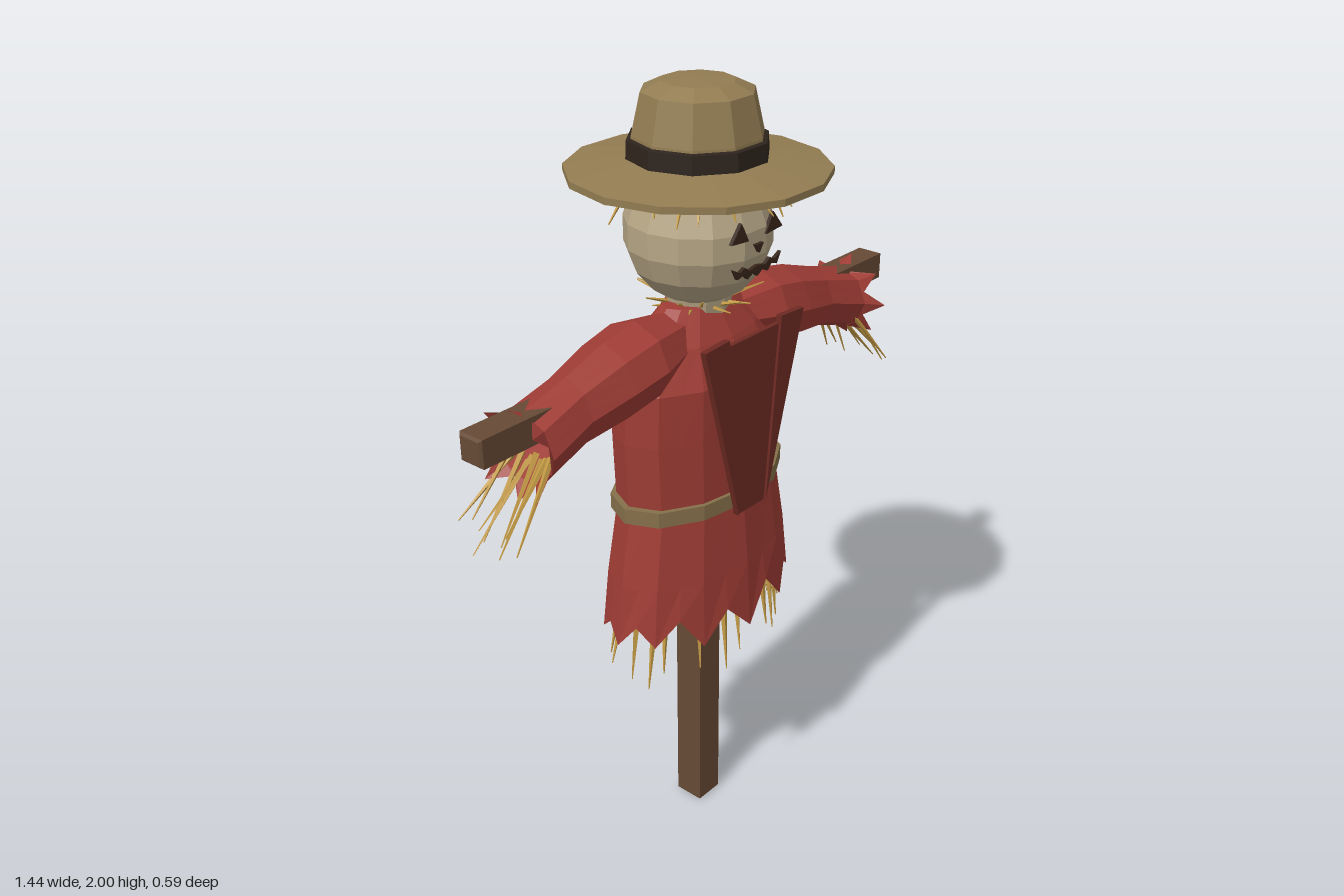
import * as THREE from 'three';

const mat = (name, color, side = THREE.FrontSide) =>
  new THREE.MeshStandardMaterial({ name, color, side, flatShading: true });

export function createModel() {
  const cloth = mat('red cloth', 0x9f3c35, THREE.DoubleSide);
  const vestCloth = mat('dark red cloth', 0x6e2a23);
  const wood = mat('wood', 0x664a35);
  const felt = mat('hat straw', 0x927c52);
  const rope = mat('belt rope', 0x85704a);
  const dark = mat('dark band', 0x2e241d);
  const sack = mat('burlap', 0xb5a585);
  const paint = mat('face paint', 0x38261c);
  const hay = mat('hay', 0xc39a45);

  const model = new THREE.Group();
  model.name = 'scarecrow';

  let seed = 7;
  const rand = (a, b) => {
    seed = (seed * 16807) % 2147483647;
    return a + (b - a) * (seed / 2147483647);
  };
  const add = (name, geometry, material, parent = model) => {
    const mesh = new THREE.Mesh(geometry, material);
    mesh.name = name;
    parent.add(mesh);
    return mesh;
  };
  const group = (name, parent = model) => {
    const g = new THREE.Group();
    g.name = name;
    parent.add(g);
    return g;
  };

  // Skin a list of rings, each an array of Vector3
  const loft = (rings) => {
    const n = rings[0].length, index = [];
    for (let i = 0; i < rings.length - 1; i++) {
      for (let j = 0; j < n; j++) {
        const a = i * n + j, b = i * n + ((j + 1) % n);
        index.push(a, b, b + n, a, b + n, a + n);
      }
    }
    const g = new THREE.BufferGeometry().setFromPoints(rings.flat());
    g.setIndex(index);
    g.computeVertexNormals();
    return g;
  };
  // Polygon ring with edge midpoints, so hems can be cut into teeth
  const ring = (sides, fn) => Array.from({ length: sides * 2 }, (_, j) => {
    const a = (j * Math.PI) / sides, k = j % 2 ? Math.cos(Math.PI / sides) : 1;
    return fn(Math.sin(a) * k, Math.cos(a) * k, j % 2 === 1);
  });
  // Tapered hay stalk between two points
  const stalk = (from, to, parent, r = 0.008) => {
    const dir = to.clone().sub(from);
    const m = add('stalk', new THREE.CylinderGeometry(0.0015, r, dir.length(), 4), hay, parent);
    m.position.copy(from).addScaledVector(dir, 0.5);
    m.quaternion.setFromUnitVectors(new THREE.Vector3(0, 1, 0), dir.normalize());
  };
  const polar = (r, y, a, squash = 1) =>
    new THREE.Vector3(r * Math.sin(a), y, r * Math.cos(a) * squash);
  const plate = (name, pts, z, depth, material, parent) => {
    const shape = new THREE.Shape(pts.map(([x, y]) => new THREE.Vector2(x, y)));
    const g = new THREE.ExtrudeGeometry(shape, { depth, bevelEnabled: false });
    return add(name, g.translate(0, 0, z), material, parent);
  };
  const beam = (name, length, half) => {
    const c = half - 0.006, s = new THREE.Shape([
      new THREE.Vector2(-c, -c), new THREE.Vector2(c, -c),
      new THREE.Vector2(c, c), new THREE.Vector2(-c, c)]);
    const g = new THREE.ExtrudeGeometry(s, {
      depth: length - 0.012, bevelSize: 0.006, bevelThickness: 0.006, bevelSegments: 1 });
    return add(name, g.translate(0, 0, 0.006 - length / 2), wood);
  };

  // Wooden frame
  const post = beam('post', 1.5, 0.04);
  post.rotation.x = Math.PI / 2;
  post.position.y = 0.75;
  const crossbar = beam('crossbar', 1.44, 0.034);
  crossbar.rotation.y = Math.PI / 2;
  crossbar.position.y = 1.372;

  // Coat body with a ragged hem
  const body = [
    [0.82, 0.287, 0.163], [1.0, 0.252, 0.147], [1.2, 0.262, 0.147], [1.33, 0.256, 0.146],
    [1.42, 0.2, 0.105], [1.495, 0.11, 0.06], [1.5, 0.01, 0.01],
  ].map(([y, rx, rz]) => ring(12, (s, c) => new THREE.Vector3(s * rx, y, c * rz)));
  const hem = ring(12, (s, c, notch) => new THREE.Vector3(
    s * 0.306, notch ? rand(0.7, 0.74) : rand(0.64, 0.67), c * 0.175));
  add('coat', loft([hem, ...body]), cloth);

  // Rope belt
  const belt = [[0.995, 0.26, 0.15], [0.995, 0.27, 0.157], [1.035, 0.27, 0.157], [1.035, 0.25, 0.145]]
    .map(([y, rx, rz]) => ring(12, (s, c) => new THREE.Vector3(s * rx, y, c * rz)));
  add('belt', loft(belt), rope);

  // Front vest panels
  const vest = group('vest');
  plate('vestCentre', [[-0.052, 0.985], [0.052, 0.985], [0.1, 1.44], [-0.1, 1.44]], 0.156, 0.012, vestCloth, vest);
  for (const s of [-1, 1]) {
    const pts = [[s * 0.052, 0.985], [s * 0.18, 1.455], [s * 0.095, 1.46]];
    plate('vestFlap', pts, 0.16, 0.015, vestCloth, vest);
  }

  // Sleeves with torn cuffs and hay hands
  for (const turn of [0, Math.PI]) {
    const arm = group(turn ? 'rightArm' : 'leftArm');
    arm.rotation.y = turn;
    const sleeve = [
      [0.06, 1.42, 0.06, 0.06], [0.22, 1.405, 0.095, 0.105], [0.32, 1.385, 0.095, 0.098],
      [0.44, 1.358, 0.082, 0.08], [0.57, 1.32, 0.084, 0.09],
    ].map(([x, y, h, w]) => ring(8, (s, c) => new THREE.Vector3(x, y + c * h, s * w)));
    const cuff = ring(8, (s, c, notch) => notch
      ? new THREE.Vector3(0.575, 1.318 + c * 0.09, s * 0.095)
      : new THREE.Vector3(rand(0.59, 0.63), 1.31 + c * 0.112, s * 0.122));
    add('sleeve', loft([...sleeve, cuff]), cloth, arm);
    const hand = group('hayHand', arm);
    for (let i = 0; i < 9; i++) {
      const t = i / 4 - 1;
      stalk(new THREE.Vector3(0.55, rand(1.27, 1.33), t * 0.06),
        new THREE.Vector3(rand(0.65, 0.73), rand(1.1, 1.19), t * 0.1), hand);
    }
  }

  // Burlap head
  const head = add('head', new THREE.SphereGeometry(0.175, 14, 9), sack);
  head.position.y = 1.66;
  const neck = add('neck', new THREE.CylinderGeometry(0.085, 0.075, 0.06, 10), sack);
  neck.position.y = 1.5;

  // Painted face
  const face = group('face');
  for (const s of [-1, 1]) {
    plate('eye', [[s * 0.03, 1.675], [s * 0.09, 1.68], [s * 0.056, 1.722]], 0.164, 0.009, paint, face);
  }
  plate('nose', [[-0.014, 1.663], [0.0, 1.642], [0.014, 1.663]], 0.171, 0.009, paint, face);
  plate('mouth', [
    [-0.084, 1.622], [-0.07, 1.596], [-0.05, 1.602], [-0.035, 1.588], [-0.015, 1.598], [0, 1.586],
    [0.018, 1.598], [0.036, 1.588], [0.05, 1.602], [0.07, 1.596], [0.084, 1.622], [0.062, 1.61],
    [0.045, 1.618], [0.028, 1.606], [0, 1.612], [-0.028, 1.606], [-0.045, 1.618], [-0.062, 1.61],
  ], 0.166, 0.009, paint, face);

  // Hat
  const hat = group('hat');
  const lathe = (name, pts, n, material) => {
    const g = new THREE.LatheGeometry(pts.map(([r, y]) => new THREE.Vector2(r, y)), n, Math.PI / 2);
    return add(name, g, material, hat);
  };
  lathe('brim', [[0, 1.8], [0.2, 1.798], [0.305, 1.79], [0.305, 1.806], [0.15, 1.828], [0, 1.83]], 14, felt);
  lathe('crown', [[0.155, 1.82], [0.152, 1.88], [0.13, 1.975], [0.085, 1.996], [0, 2]], 10, felt);
  lathe('hatBand', [[0.15, 1.826], [0.165, 1.83], [0.163, 1.872], [0.145, 1.876]], 10, dark);

  // Loose hay: hair, collar and skirt filling
  const hair = group('hayHair');
  for (let i = 0; i < 16; i++) {
    const a = ((i + rand(-0.3, 0.3)) / 16) * Math.PI * 2;
    stalk(polar(0.15, 1.8, a), polar(rand(0.185, 0.22), rand(1.69, 1.74), a + rand(-0.1, 0.1)), hair);
  }
  const collar = group('hayCollar');
  for (let i = 0; i < 18; i++) {
    const a = ((i + rand(-0.3, 0.3)) / 18) * Math.PI * 2;
    stalk(polar(0.05, 1.485, a), polar(rand(0.11, 0.16), rand(1.485, 1.53), a + rand(-0.2, 0.2)), collar, 0.007);
  }
  const filling = group('haySkirt');
  for (let i = 0; i < 20; i++) {
    const a = ((i + rand(-0.3, 0.3)) / 20) * Math.PI * 2;
    stalk(polar(0.245, 0.75, a, 0.57), polar(rand(0.26, 0.295), rand(0.515, 0.58), a, 0.6), filling, 0.011);
  }
  return model;
}
